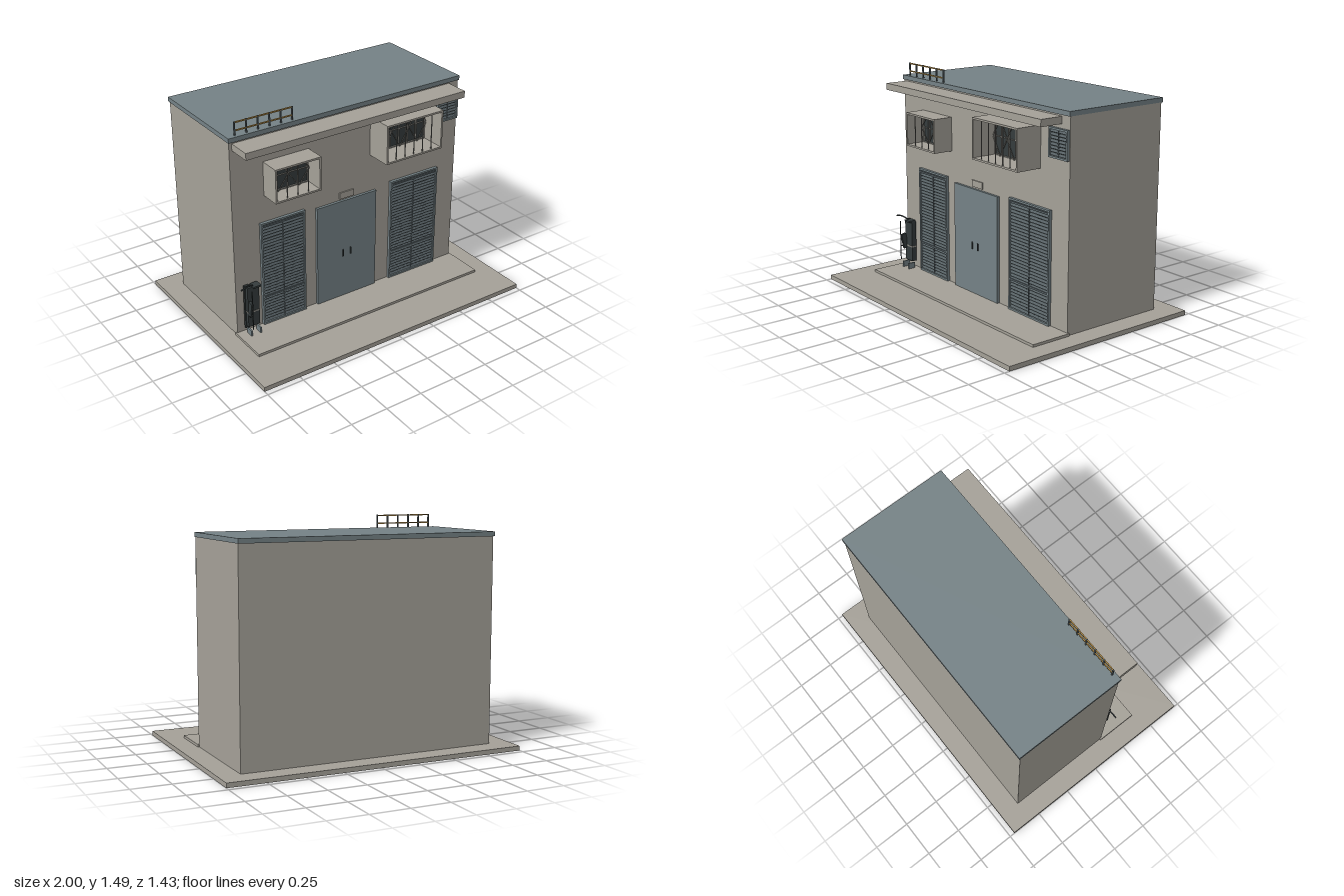
import * as THREE from 'three';

const mat = (name, color) => Object.assign(new THREE.MeshStandardMaterial({ color }), { name });

export function createModel() {
  const root = new THREE.Group();
  root.name = 'utilityBuilding';
  const concrete = mat('concrete', 0xa5a198);
  const steel = mat('blueGreySteel', 0x758286);
  const slatGrey = mat('slatGrey', 0x566064);
  const dark = mat('darkMetal', 0x353c3d);
  const barGrey = mat('barGrey', 0x8b8a84);
  const amber = mat('amberPaint', 0xb08a45);

  // Box given by its limits on each axis
  const box = (name, m, x0, x1, y0, y1, z0, z1, parent = root) => {
    const mesh = new THREE.Mesh(new THREE.BoxGeometry(x1 - x0, y1 - y0, z1 - z0), m);
    mesh.position.set((x0 + x1) / 2, (y0 + y1) / 2, (z0 + z1) / 2);
    mesh.name = name;
    parent.add(mesh);
    return mesh;
  };
  // Square bar between two points in a plane of constant z
  const bar = (name, m, xa, ya, xb, yb, z, t, parent) => {
    const mesh = new THREE.Mesh(new THREE.BoxGeometry(Math.hypot(xb - xa, yb - ya), t, t), m);
    mesh.position.set((xa + xb) / 2, (ya + yb) / 2, z);
    mesh.rotation.z = Math.atan2(yb - ya, xb - xa);
    mesh.name = name;
    parent.add(mesh);
  };
  const group = (name) => {
    const g = new THREE.Group();
    g.name = name;
    root.add(g);
    return g;
  };
  // Hollow rectangular surround
  const surround = (name, m, x0, x1, y0, y1, z0, z1, t, parent) => {
    box(name, m, x0, x1, y0, y0 + t, z0, z1, parent);
    box(name, m, x0, x1, y1 - t, y1, z0, z1, parent);
    box(name, m, x0, x0 + t, y0 + t, y1 - t, z0, z1, parent);
    box(name, m, x1 - t, x1, y0 + t, y1 - t, z0, z1, parent);
  };

  // Slab, step, walls, roof, canopy
  box('baseSlab', concrete, -1, 1, 0, 0.03, -0.715, 0.715);
  box('frontStep', concrete, -0.87, 0.87, 0.03, 0.047, 0.15, 0.435);
  box('walls', concrete, -0.86, 0.86, 0.03, 1.37, -0.575, 0.16);
  box('roof', steel, -0.866, 0.863, 1.37, 1.4, -0.585, 0.17);
  box('canopy', concrete, -0.84, 0.785, 1.315, 1.36, 0.16, 0.32);

  // Entrance door with two handles and a plate above
  box('entranceDoor', steel, -0.262, 0.198, 0.047, 0.757, 0.16, 0.178);
  for (const x of [-0.065, -0.005]) box('doorHandle', dark, x - 0.003, x + 0.003, 0.35, 0.4, 0.178, 0.185);
  box('blankPlate', concrete, -0.082, 0.027, 0.768, 0.812, 0.16, 0.168);

  // Louvred panels
  const louvre = (name, x0, x1, y0, y1, count, rails) => {
    const g = group(name), t = 0.012;
    surround('louvreFrame', steel, x0, x1, y0, y1, 0.16, 0.18, t, g);
    box('louvreBack', dark, x0 + t, x1 - t, y0 + t, y1 - t, 0.16, 0.164, g);
    const step = (y1 - y0 - 2 * t) / count;
    for (let i = 0; i < count; i++) {
      const y = y0 + t + (i + 0.5) * step;
      const s = box('slat', slatGrey, x0 + t, x1 - t, y - step * 0.36, y + step * 0.36, 0.169, 0.172, g);
      s.rotation.x = -0.5;
    }
    const xm = (x0 + x1) / 2;
    box('middleStile', slatGrey, xm - 0.003, xm + 0.003, y0 + t, y1 - t, 0.164, 0.176, g);
    for (const y of rails) box('crossRail', slatGrey, x0 + t, x1 - t, y - 0.006, y + 0.006, 0.164, 0.178, g);
  };
  louvre('leftLouvreDoor', -0.675, -0.352, 0.047, 0.78, 34, [0.25, 0.755]);
  louvre('rightLouvreDoor', 0.315, 0.705, 0.047, 0.78, 34, [0.25, 0.755]);
  louvre('wallVent', 0.688, 0.855, 1.105, 1.288, 8, []);

  // Windows in projecting surrounds, with a lattice grille
  const windowBox = (name, x0, x1, y0, y1, z1, cols) => {
    const g = group(name), t = 0.012;
    surround('windowSurround', concrete, x0, x1, y0, y1, 0.16, z1, t, g);
    const a = x0 + t, b = x1 - t, c = y0 + t, d = y1 - t, m = (c + d) / 2, w = (b - a) / cols;
    box('glass', dark, a, b, c, d, 0.16, 0.165, g);
    surround('windowFrame', barGrey, a, b, c, d, 0.165, 0.175, 0.006, g);
    bar('middleBar', barGrey, a, m, b, m, 0.172, 0.006, g);
    for (let i = 0; i < cols; i++) {
      const xa = a + i * w, xb = xa + w;
      if (i > 0) {
        bar('mullion', barGrey, xa, c, xa, d, 0.172, 0.006, g);
        bar('guardBar', barGrey, xa, c, xa, d, z1 - 0.012, 0.005, g);
      }
      const ya = i % 2 ? d : m, yb = i % 2 ? m : d;
      bar('latticeBar', barGrey, xa, ya, xb, yb, 0.185, 0.005, g);
      bar('latticeBar', barGrey, xa, 2 * m - ya, xb, 2 * m - yb, 0.185, 0.005, g);
    }
  };
  windowBox('leftWindow', -0.635, -0.31, 0.96, 1.187, 0.3, 4);
  windowBox('rightWindow', 0.155, 0.597, 1.015, 1.28, 0.34, 6);

  // Roof railing
  const rail = group('roofRailing');
  for (let i = 0; i < 6; i++) {
    const x = -0.81 + i * 0.079;
    box('railPost', slatGrey, x - 0.004, x + 0.004, 1.4, 1.487, 0.141, 0.151, rail);
  }
  for (const y of [1.43, 1.482]) box('handRail', amber, -0.81, -0.415, y - 0.004, y + 0.004, 0.142, 0.15, rail);

  // Wall-mounted equipment cabinet with feet, tilted panel and pipe
  const unit = group('equipmentCabinet');
  box('cabinetBody', dark, -0.808, -0.725, 0.1, 0.385, 0.18, 0.215, unit);
  box('cabinetSidePlate', dark, -0.815, -0.78, 0.082, 0.39, 0.175, 0.19, unit);
  box('cabinetBand', barGrey, -0.809, -0.724, 0.2, 0.21, 0.179, 0.217, unit);
  box('cabinetCap', dark, -0.775, -0.72, 0.385, 0.397, 0.185, 0.24, unit);
  const panel = box('tiltedPanel', dark, -0.806, -0.79, 0.185, 0.29, 0.212, 0.248, unit);
  panel.rotation.x = 0.2;
  box('controlRod', dark, -0.803, -0.798, 0.105, 0.385, 0.257, 0.262, unit);
  box('rodBracket', dark, -0.803, -0.798, 0.2, 0.207, 0.215, 0.26, unit);
  for (const x of [-0.802, -0.735]) box('foot', steel, x - 0.005, x + 0.005, 0.047, 0.087, 0.19, 0.242, unit);
  box('footPost', dark, -0.805, -0.798, 0.047, 0.11, 0.195, 0.203, unit);
  const path = new THREE.CatmullRomCurve3([
    [-0.73, 0.39, 0.2], [-0.765, 0.392, 0.21], [-0.785, 0.41, 0.23], [-0.82, 0.417, 0.24], [-0.87, 0.407, 0.243],
  ].map((p) => new THREE.Vector3(...p)));
  const pipe = new THREE.Mesh(new THREE.TubeGeometry(path, 20, 0.005, 8), dark);
  pipe.name = 'pipe';
  unit.add(pipe);

  return root;
}
